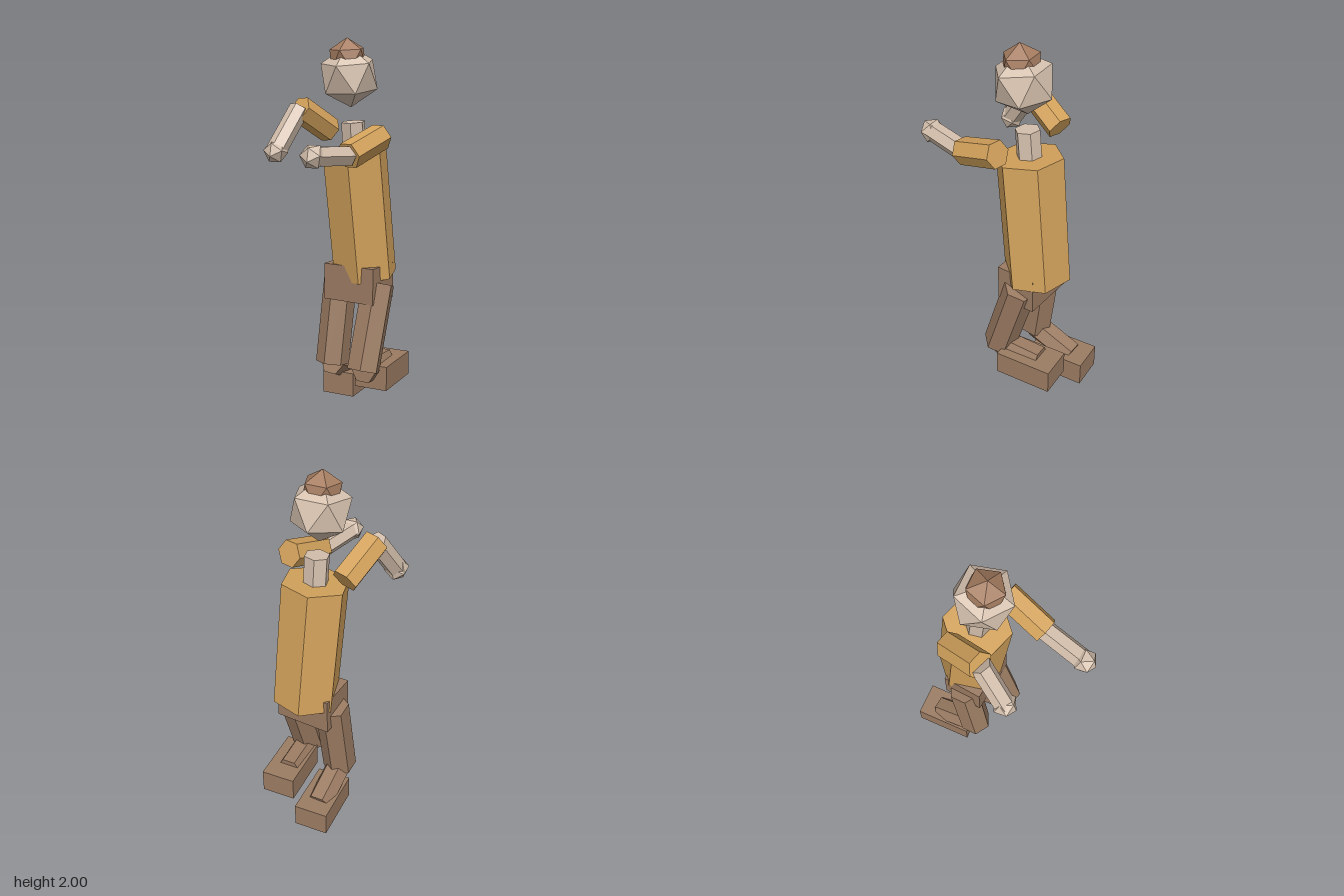
import * as THREE from 'three';

const shirt = new THREE.MeshStandardMaterial({ color: 0xd4a35c });
shirt.name = 'ochre shirt';
const skin = new THREE.MeshStandardMaterial({ color: 0xd6c1ae });
skin.name = 'pale skin';
const trousers = new THREE.MeshStandardMaterial({ color: 0x9c7c63 });
trousers.name = 'brown trousers';
const hairBrown = new THREE.MeshStandardMaterial({ color: 0xa67d61 });
hairBrown.name = 'brown hair';

const UP = new THREE.Vector3(0, 1, 0);

export function createModel() {
  const model = new THREE.Group();
  model.name = 'figure';

  function add(name, geometry, material, position) {
    const mesh = new THREE.Mesh(geometry, material);
    mesh.name = name;
    mesh.position.set(...position);
    model.add(mesh);
    return mesh;
  }

  // Faceted six-sided prism running from a to b, rolled about its own axis
  function prism(name, a, b, radius, material, rollDegrees) {
    const start = new THREE.Vector3(...a);
    const axis = new THREE.Vector3(...b).sub(start);
    const length = axis.length();
    const geometry = new THREE.CylinderGeometry(radius, radius, length, 6).toNonIndexed();
    geometry.computeVertexNormals();
    geometry.rotateY(THREE.MathUtils.degToRad(rollDegrees));
    const mid = start.clone().addScaledVector(axis, 0.5);
    const mesh = add(name, geometry, material, mid.toArray());
    mesh.quaternion.setFromUnitVectors(UP, axis.normalize());
    return mesh;
  }

  // Icosahedron with one corner pointing up, then leaned forward
  function ball(name, center, radius, material, lean) {
    const geometry = new THREE.IcosahedronGeometry(radius, 0);
    geometry.rotateX(-Math.atan((1 + Math.sqrt(5)) / 2) + lean);
    return add(name, geometry, material, center);
  }

  // Trunk
  const pelvis = add('pelvis', new THREE.BoxGeometry(0.31, 0.2, 0.225), trousers, [0.08, 0.68, -0.172]);
  pelvis.rotation.y = -0.1;
  prism('torso', [0.1, 0.707, -0.218], [0.067, 1.413, -0.14], 0.18, shirt, 12);
  prism('neck', [0.067, 1.4, -0.14], [0.064, 1.56, -0.125], 0.066, skin, 12);

  // Head and hair knot
  ball('head', [0.054, 1.8, -0.095], 0.165, skin, 0.15);
  ball('hair', [0.052, 1.894, -0.082], 0.107, hairBrown, 0.1);

  // Arms: shoulder, elbow and hand joints
  const arms = [
    ['right', [-0.12, 1.505, -0.21], [-0.195, 1.63, 0], [-0.255, 1.41, 0.152]],
    ['left', [0.25, 1.49, -0.065], [0.183, 1.407, 0.182], [0.108, 1.42, 0.42]],
  ];
  for (const [side, shoulder, elbow, hand] of arms) {
    prism(`${side}UpperArm`, shoulder, elbow, 0.073, shirt, 15);
    prism(`${side}Forearm`, elbow, hand, 0.055, skin, 15);
    ball(`${side}Hand`, hand, 0.066, skin, 0.8);
  }

  // Legs: hip, knee and ankle joints, with block feet
  const legs = [
    ['right', [-0.04, 0.675, -0.19], [-0.06, 0.2, -0.125], [-0.043, 0.1, -0.372], [-0.038, 0.068, -0.318]],
    ['left', [0.2, 0.675, -0.17], [0.178, 0.215, -0.025], [0.183, 0.2, -0.29], [0.2, 0.167, -0.238]],
  ];
  for (const [side, hip, knee, ankle, foot] of legs) {
    prism(`${side}Thigh`, hip, knee, 0.093, trousers, 30);
    prism(`${side}Shin`, knee, ankle, 0.074, trousers, 30);
    add(`${side}Foot`, new THREE.BoxGeometry(0.189, 0.135, 0.325), trousers, foot);
  }

  return model;
}
